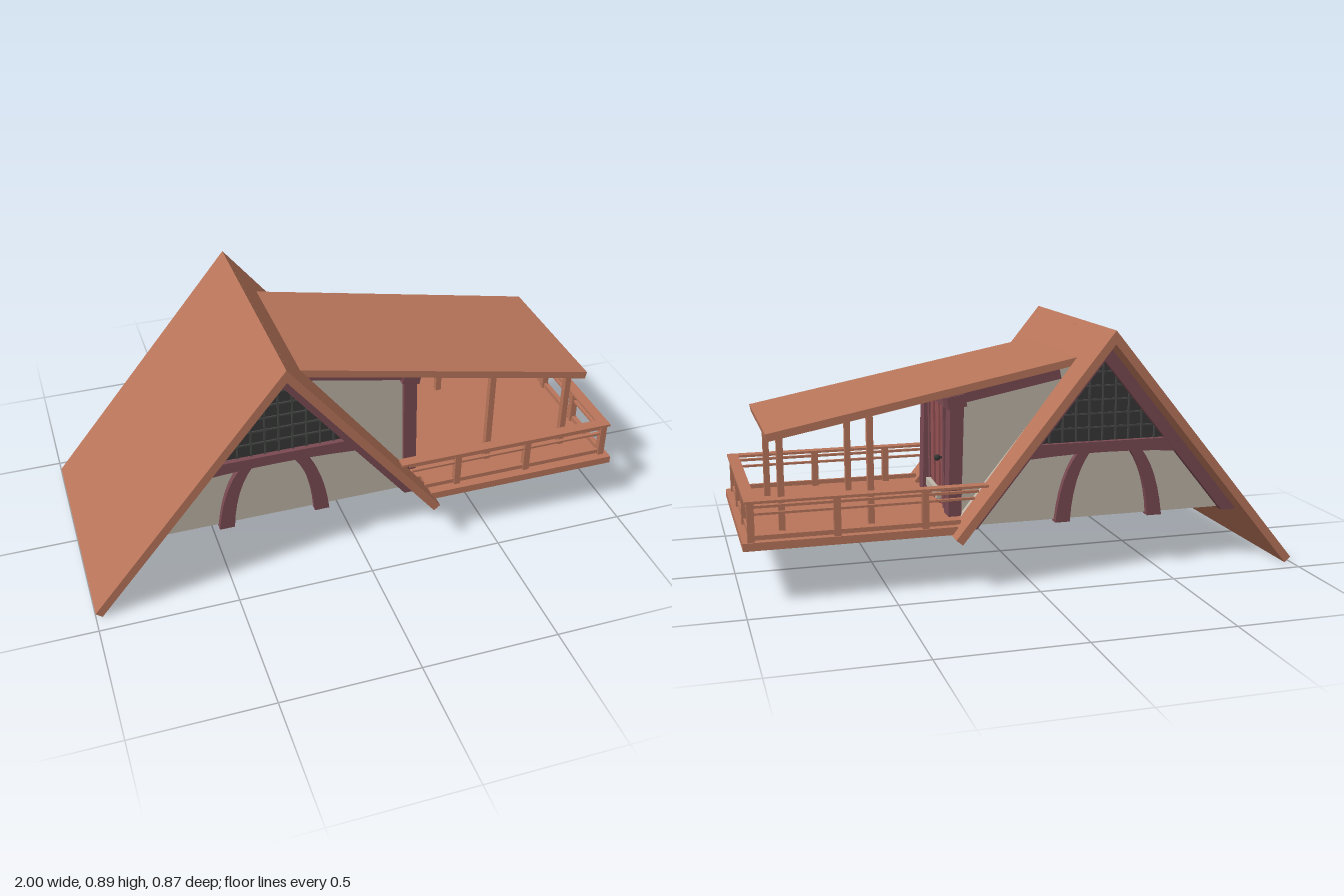
import * as THREE from 'three';

const mat = (name, color) => {
  const m = new THREE.MeshStandardMaterial({ color });
  m.name = name;
  return m;
};

export function createModel() {
  const wood = mat('orange wood', 0xb8755a);
  const timber = mat('dark maroon timber', 0x7a4a52);
  const plaster = mat('off-white plaster', 0xbdb4a6);
  const doorRed = mat('door red', 0x965254);
  const glass = mat('dark glass', 0x363736);
  const iron = mat('lattice grey', 0x464846);

  const root = new THREE.Group();
  root.name = 'aFrameCabin';
  const add = (name, geo, material, parent = root) => {
    const mesh = new THREE.Mesh(geo, material);
    mesh.name = name;
    parent.add(mesh);
    return mesh;
  };
  // box given by its min and max on each axis
  const box = (name, material, x0, x1, y0, y1, z0, z1, parent = root) => {
    const m = add(name, new THREE.BoxGeometry(x1 - x0, y1 - y0, z1 - z0), material, parent);
    m.position.set((x0 + x1) / 2, (y0 + y1) / 2, (z0 + z1) / 2);
    return m;
  };
  const poly = pts => new THREE.Shape(pts.map(p => new THREE.Vector2(p[0], p[1])));
  // outline in the xy plane, extruded from z0 to z1
  const prism = (name, material, shape, z0, z1, parent = root) => {
    const g = new THREE.ExtrudeGeometry(shape, { depth: z1 - z0, bevelEnabled: false, curveSegments: 6 });
    g.translate(0, 0, z0);
    return add(name, g, material, parent);
  };
  // sloping board: outline is (distance down the slope, z), thickness goes inward
  const slab = (name, material, pts, ox, oy, angle, thick) => {
    const c = Math.cos(angle), s = Math.sin(angle);
    const g = new THREE.ExtrudeGeometry(poly(pts), { depth: thick, bevelEnabled: false });
    g.applyMatrix4(new THREE.Matrix4().makeBasis(
      new THREE.Vector3(c, -s, 0), new THREE.Vector3(0, 0, 1), new THREE.Vector3(-s, -c, 0)
    ).setPosition(ox, oy, 0));
    return add(name, g, material);
  };

  // Main roof: long left slope, right slope with a flared opening for the dormer
  const AX = -0.29, AY = 0.89, M = 1.227, IY = 0.841;
  prism('leftRoof', wood, poly([[AX, AY], [-1, 0.019], [-0.977, 0], [AX, IY], [AX + 0.015, AY - 0.0186]]), -0.435, 0.435);
  const L = 0.906;
  slab('rightRoof', wood, [
    [0.024, -0.435], [L, -0.435], [L, -0.33], [0.148, -0.285],
    [0.148, 0.285], [L, 0.33], [L, 0.435], [0.024, 0.435],
  ], AX, AY, Math.atan(M), 0.03);

  // Plastered body under the roof
  const half = y => (IY - y) / M;
  prism('houseBody', plaster, poly([[AX - half(0.2), 0.2], [AX + half(0.2), 0.2], [AX, IY]]), -0.305, 0.305);

  // Gable timbering and window, the same at both ends
  const inner = y => (0.77 - y) / M;
  const collar = new THREE.Shape();
  collar.moveTo(AX - inner(0.43), 0.43);
  collar.quadraticCurveTo(AX, 0.452, AX + inner(0.43), 0.43);
  collar.lineTo(AX + inner(0.48), 0.48);
  collar.lineTo(AX - inner(0.48), 0.48);
  const brace = flip => {
    const f = x => (flip ? -0.63 - x : x);
    const s = new THREE.Shape();
    s.moveTo(f(-0.52), 0.192);
    s.quadraticCurveTo(f(-0.5), 0.37, f(-0.435), 0.445);
    s.lineTo(f(-0.39), 0.445);
    s.quadraticCurveTo(f(-0.455), 0.36, f(-0.465), 0.192);
    return s;
  };
  for (const side of [1, -1]) {
    const gable = new THREE.Group();
    gable.name = side > 0 ? 'frontGable' : 'backGable';
    root.add(gable);
    const span = (a, b) => (side > 0 ? [a, b] : [-b, -a]);
    prism('rafters', timber, poly([
      [AX - half(0.192), 0.192], [AX - inner(0.192), 0.192], [AX, 0.77],
      [AX + inner(0.192), 0.192], [AX + half(0.192), 0.192], [AX, IY],
    ]), ...span(0.262, 0.333), gable);
    prism('collarBeam', timber, collar, ...span(0.29, 0.33), gable);
    prism('leftBrace', timber, brace(false), ...span(0.29, 0.328), gable);
    prism('rightBrace', timber, brace(true), ...span(0.29, 0.328), gable);
    prism('gableWindow', glass, poly([[AX - inner(0.48), 0.48], [AX + inner(0.48), 0.48], [AX, 0.77]]), ...span(0.304, 0.31), gable);
    for (let i = -4; i <= 4; i++) {
      const x = AX + i * 0.05;
      box('windowBar', iron, x - 0.003, x + 0.003, 0.48, 0.77 - Math.abs(i * 0.05) * M, ...span(0.308, 0.315), gable);
    }
    for (let y = 0.53; y < 0.75; y += 0.05)
      box('windowCrossBar', iron, AX - inner(y), AX + inner(y), y - 0.003, y + 0.003, ...span(0.308, 0.314), gable);
  }

  // Dormer with its corner posts, eave beams and entrance
  prism('dormerWalls', plaster, poly([[-0.2, 0.2], [0.22, 0.2], [0.22, 0.667], [-0.2, 0.748]]), -0.22, 0.22);
  const pitch = Math.atan(0.217 / 1.11);
  for (const s of [1, -1]) {
    const z = s * 0.205;
    prism('cornerPost', timber, poly([[0.215, 0.2], [0.262, 0.2], [0.25, 0.655], [0.2, 0.66]]), z - 0.032, z + 0.032);
    const bracket = box('postBracket', timber, 0.195, 0.262, 0.61, 0.655, z - 0.038, z + 0.038);
    bracket.rotation.z = -pitch;
    const beam = add('eaveBeam', new THREE.BoxGeometry(0.42, 0.045, 0.05), timber);
    beam.position.set(0.05, 0.68, s * 0.21);
    beam.rotation.z = -pitch;
    const zf = s * 0.112;
    box('doorFrame', timber, 0.21, 0.25, 0.2, 0.62, zf - 0.013, zf + 0.013);
  }
  box('doorLintel', timber, 0.21, 0.252, 0.6, 0.655, -0.2, 0.2);
  box('doorBacking', timber, 0.215, 0.228, 0.2, 0.61, -0.1, 0.1);
  [[0.055, 0.099, 0.245], [0.012, 0.049, 0.238], [-0.041, 0.008, 0.248], [-0.099, -0.046, 0.242]].forEach(([z0, z1, x]) =>
    box('doorPlank', doorRed, 0.22, x, 0.21, 0.6, z0, z1));
  const knob = add('doorKnob', new THREE.IcosahedronGeometry(0.012, 1), glass);
  knob.position.set(0.262, 0.4, -0.072);
  box('knobStem', glass, 0.24, 0.262, 0.396, 0.404, -0.076, -0.068);
  const board = box('doorBoard', plaster, 0.25, 0.268, 0.253, 0.283, -0.09, 0.09);
  board.rotation.x = -0.06;

  // Porch roof and its posts
  slab('porchRoof', wood, [[0, -0.285], [1.131, -0.287], [1.131, 0.305], [0, 0.285]], -0.21, 0.782, pitch, 0.027);
  for (const x of [0.54, 0.85])
    for (const z of [0.254, -0.238])
      box('porchPost', wood, x - 0.011, x + 0.011, 0.2, 0.755 - (x + 0.2) * 0.1955, z - 0.012, z + 0.012);

  // Deck
  box('deck', wood, 0.262, 0.995, 0.191, 0.219, -0.375, 0.398);
  box('doorstep', wood, 0.2, 0.27, 0.193, 0.218, -0.29, 0.29);

  // Railing around three sides
  const railing = new THREE.Group();
  railing.name = 'railing';
  root.add(railing);
  const bars = [[0.224, 0.24], [0.309, 0.317], [0.333, 0.342]];
  for (const z of [0.362, -0.357]) {
    box('sideTopRail', wood, 0.15, 0.985, 0.352, 0.361, z - 0.02, z + 0.02, railing);
    for (const [a, b] of bars)
      box('sideRail', wood, 0.262 - (a - 0.2) * 0.6, 0.965, a, b, z - 0.006, z + 0.006, railing);
    for (const x of [0.373, z > 0 ? 0.652 : 0.677, 0.966])
      box('sideRailPost', wood, x - 0.012, x + 0.012, 0.2, 0.353, z - 0.012, z + 0.012, railing);
  }
  box('endTopRail', wood, 0.945, 0.985, 0.352, 0.361, -0.337, 0.342, railing);
  for (const [a, b] of bars) box('endRail', wood, 0.96, 0.972, a, b, -0.357, 0.362, railing);
  for (const z of [0.127, -0.12])
    box('endRailPost', wood, 0.954, 0.978, 0.2, 0.353, z - 0.013, z + 0.013, railing);

  return root;
}
